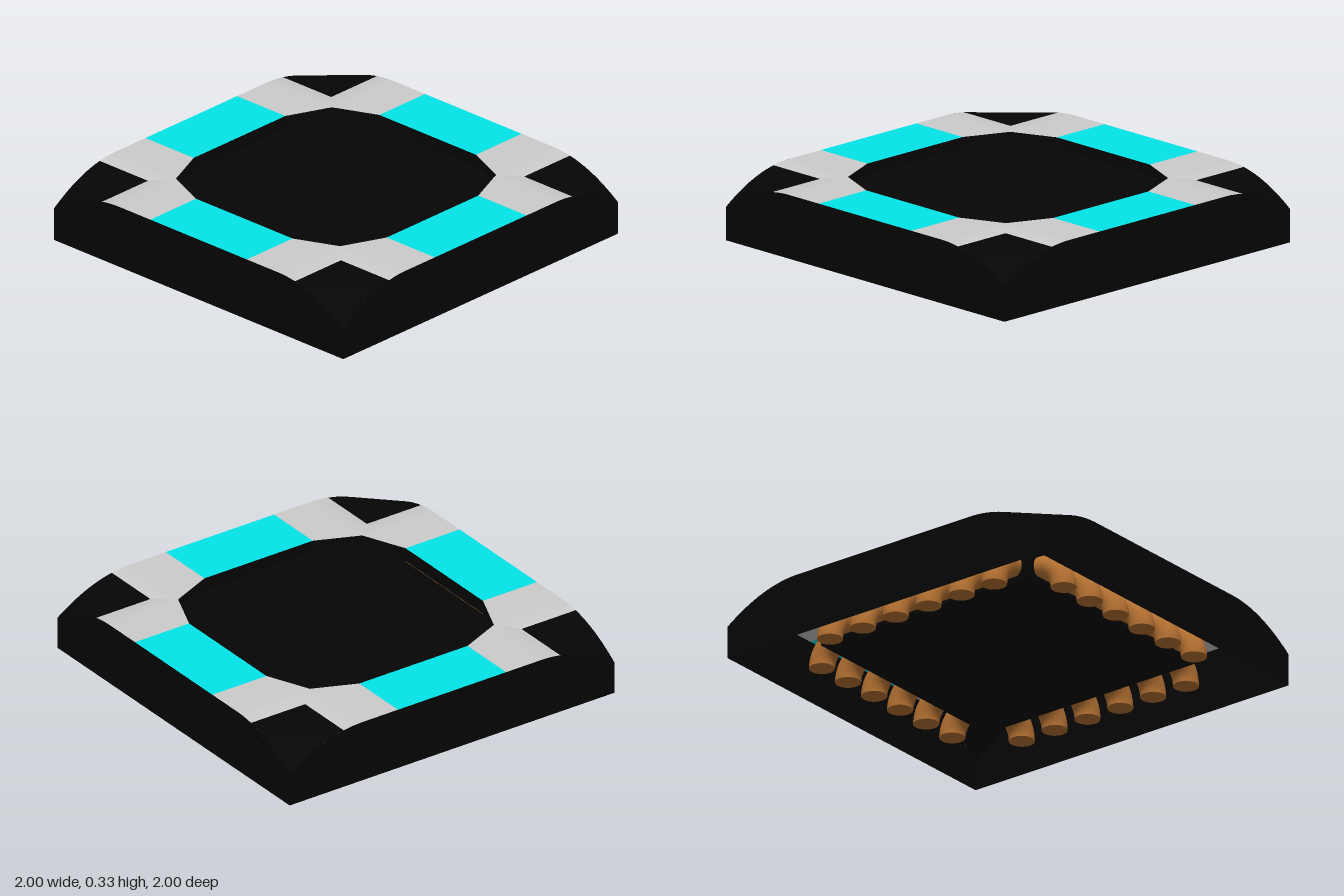
import * as THREE from 'three';

const A = 1 / 3, B = 2 / 3, K = 0.567; // stripe edge, rim distance, chamfered rim corner
const mat = (color) => new THREE.MeshStandardMaterial({ color, side: THREE.DoubleSide });
const black = mat(0x050505), teal = mat(0x02e4e8), grey = mat(0xcccccc), copper = mat(0xb87333);

// Flat top rounding down towards the corners
const arch = (t) => 1 / 3 - 0.16 * Math.pow(Math.max(0, (Math.abs(t) - 0.55) / 0.45), 2);
// Corner squares slope off diagonally; elsewhere the higher of the two arches wins
const height = (x, z) => (Math.min(x, z) > B
  ? arch(Math.max(B, x + z - 1))
  : Math.max(arch(x), arch(z)));

// Grid surface from a rule (u, v) -> [x, y, z]; faces towards v cross u
function surface(name, material, nu, nv, rule) {
  const pos = [], idx = [], w = nu + 1;
  for (let j = 0; j <= nv; j++)
    for (let i = 0; i <= nu; i++) pos.push(...rule(i / nu, j / nv));
  for (let j = 0; j < nv; j++)
    for (let i = 0; i < nu; i++) {
      const a = j * w + i, b = a + 1, c = a + w, d = c + 1;
      idx.push(a, c, d, a, d, b);
    }
  const geo = new THREE.BufferGeometry();
  geo.setAttribute('position', new THREE.Float32BufferAttribute(pos, 3));
  geo.setIndex(idx);
  geo.computeVertexNormals();
  const mesh = new THREE.Mesh(geo, material);
  mesh.name = name;
  return mesh;
}

// Top panel spanning four plan corners, each [x, z], draped on the height rule
function panel(name, material, p00, p10, p01, p11) {
  return surface(name, material, 12, 12, (u, v) => {
    const [x, z] = [0, 1].map((k) =>
      (1 - v) * ((1 - u) * p00[k] + u * p10[k]) + v * ((1 - u) * p01[k] + u * p11[k]));
    return [x, height(x, z), z];
  });
}

// Rectangular top panel
const rect = (name, material, x0, x1, z0, z1) =>
  panel(name, material, [x0, z0], [x1, z0], [x0, z1], [x1, z1]);

// Copper elbow: vertical at its open lower end, bending inwards into the core
function coil(x) {
  const g = new THREE.Group();
  g.name = 'coil';
  const bend = new THREE.Mesh(new THREE.TorusGeometry(0.14, 0.066, 18, 12, Math.PI / 2), copper);
  bend.name = 'coilBend';
  const cap = new THREE.Mesh(new THREE.CircleGeometry(0.066, 18).rotateX(Math.PI / 2), copper);
  cap.name = 'coilEnd';
  cap.position.x = 0.14;
  g.add(bend, cap);
  g.rotation.y = -Math.PI / 2;
  g.position.set(x, 0.05, 0.633);
  return g;
}

// One side with its neighbouring corner, repeated four times around y
function side() {
  const g = new THREE.Group();
  g.name = 'side';
  g.add(
    rect('stripePanel', teal, -A, A, B, 1),
    rect('greyPanel', grey, A, B, B, 1),
    rect('greyPanel', grey, -B, -A, B, 1),
    panel('cornerPanel', black, [B, 1], [B, B], [1, 1], [1, B]),
    // Two triangles between the opening and the corner square
    panel('rimCornerPanel', grey, [A, B], [K, K], [A, B], [B, B]),
    panel('rimCornerPanel', grey, [K, K], [B, A], [B, B], [B, A]),
    // Outer wall following the arch
    surface('outerWall', black, 60, 1, (u, v) => {
      const x = 1 - 2 * u;
      return [x, v * arch(x), 1];
    }),
  );
  // Shallow lip under the rim of the opening
  const rim = [[-A, B], [A, B], [K, K], [B, A]];
  g.add(surface('rimLip', black, 3, 1, (u, v) => {
    const [x, z] = rim[Math.round(u * 3)];
    return [x, v ? height(x, z) : 0.26, z];
  }));
  for (let i = 0; i < 6; i++) g.add(coil((i - 2.5) * 0.21));
  return g;
}

// Square slab centred on the tile
function slab(name, width, y0, y1) {
  const mesh = new THREE.Mesh(new THREE.BoxGeometry(width, y1 - y0, width), black);
  mesh.position.y = (y0 + y1) / 2;
  mesh.name = name;
  return mesh;
}

export function createModel() {
  const model = new THREE.Group();
  model.name = 'floorTile';
  for (let k = 0; k < 4; k++) {
    const s = side();
    s.rotation.y = k * Math.PI / 2;
    model.add(s);
  }
  // Dark central block filling the opening, with a base plate under the coils
  model.add(slab('core', 1.266, 0.11, 0.29), slab('basePlate', 1.334, 0.095, 0.115));
  return model;
}
